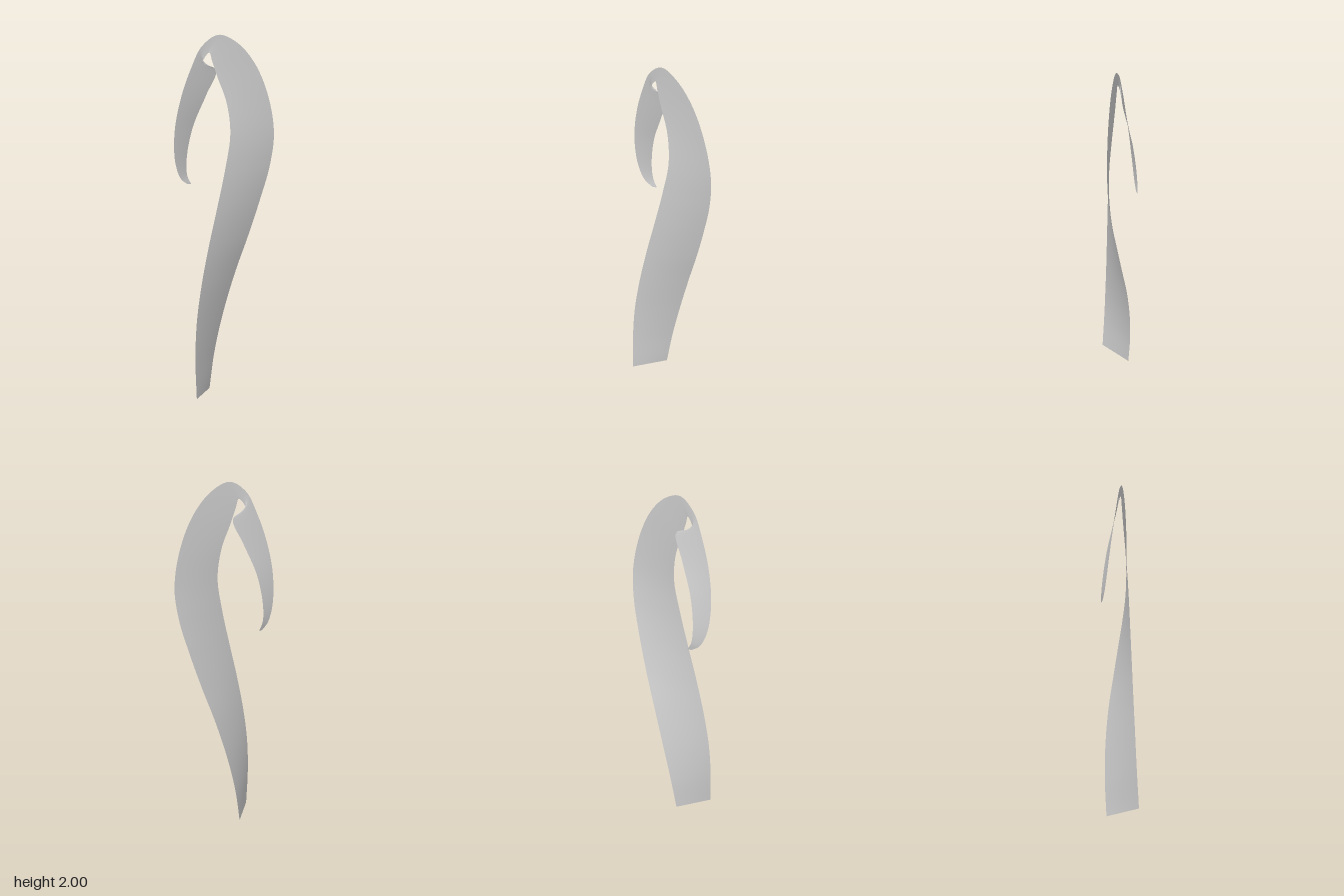
import * as THREE from 'three';

// Paired stations along the ribbon: inner edge xyz, outer edge xyz
const stations = [
  [-0.185, 0.00, 0.105, -0.08, 0.00, -0.08],
  [-0.19, 0.22, 0.095, -0.05, 0.20, -0.095],
  [-0.18, 0.43, 0.085, 0.00, 0.42, -0.103],
  [-0.15, 0.64, 0.072, 0.07, 0.66, -0.10],
  [-0.105, 0.86, 0.057, 0.145, 0.88, -0.087],
  [-0.06, 1.05, 0.043, 0.21, 1.09, -0.072],
  [-0.01, 1.27, 0.027, 0.26, 1.28, -0.056],
  [0.022, 1.47, 0.012, 0.278, 1.46, -0.04],
  [0.002, 1.64, 0.002, 0.24, 1.67, -0.027],
  [-0.045, 1.77, -0.002, 0.16, 1.85, -0.017],
  [-0.075, 1.86, -0.004, 0.06, 1.96, -0.009],
  [-0.09, 1.905, -0.006, -0.04, 2.00, -0.005],
  [-0.125, 1.85, -0.012, -0.13, 1.94, -0.005],
  [-0.045, 1.81, -0.044, -0.19, 1.82, -0.009],
  [-0.10, 1.67, -0.058, -0.245, 1.66, -0.016],
  [-0.17, 1.50, -0.072, -0.278, 1.48, -0.03],
  [-0.203, 1.33, -0.086, -0.273, 1.31, -0.05],
  [-0.20, 1.23, -0.095, -0.24, 1.215, -0.07],
  [-0.178, 1.18, -0.10, -0.20, 1.18, -0.088],
];

// Ruled strip between two edge curves sharing one parameter
function ruledStrip(edgeA, edgeB, along, across) {
  const positions = [], index = [];
  for (let i = 0; i <= along; i++) {
    const a = edgeA.getPoint(i / along), b = edgeB.getPoint(i / along);
    for (let j = 0; j <= across; j++) positions.push(...a.clone().lerp(b, j / across).toArray());
  }
  const row = across + 1;
  for (let i = 0; i < along; i++) {
    for (let j = 0; j < across; j++) {
      const p = i * row + j;
      index.push(p, p + 1, p + row, p + 1, p + row + 1, p + row);
    }
  }
  const geometry = new THREE.BufferGeometry();
  geometry.setAttribute('position', new THREE.Float32BufferAttribute(positions, 3));
  geometry.setIndex(index);
  geometry.computeVertexNormals();
  return geometry;
}

export function createModel() {
  const group = new THREE.Group();
  group.name = 'twistedHook';
  const edge = (k) => new THREE.CatmullRomCurve3(
    stations.map((s) => new THREE.Vector3(s[k], s[k + 1], s[k + 2])), false, 'centripetal');

  // Twisting ribbon that rises, arches over and tapers to a curled tip
  const ribbon = new THREE.Mesh(
    ruledStrip(edge(0), edge(3), 216, 12),
    new THREE.MeshStandardMaterial({ color: 0xcccccc, side: THREE.DoubleSide }));
  ribbon.name = 'ribbon';
  group.add(ribbon);
  return group;
}
